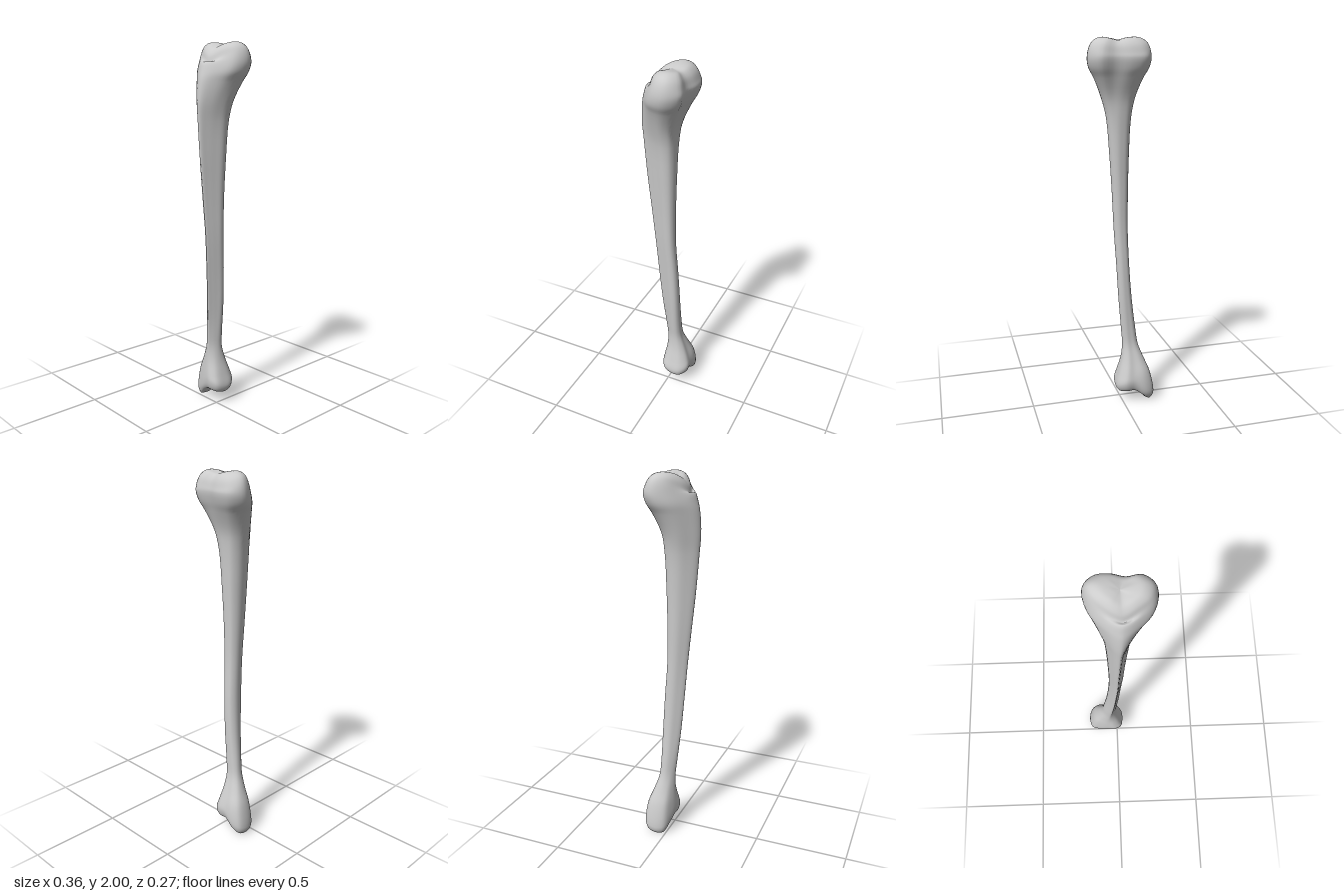
import * as THREE from 'three';

// Normalised cross-sections (x, z in -1..1), running front, +x side, back, -x side
const PLATEAU = [[.1, 1], [.55, .72], [.92, .3], [1, -.35], [.7, -.88], [.2, -.84], [-.3, -1], [-.75, -.92], [-1, -.4], [-.85, .2], [-.45, .72], [-.15, .95]];
const SHAFT = [[.15, 1], [.45, .6], [.75, .1], [1, -.4], [.85, -.8], [.4, -1], [-.1, -1], [-.6, -.9], [-.97, -.5], [-.97, 0], [-.6, .5], [-.15, .92]];
const ANKLE = [[.15, .95], [.55, 1], [.9, .75], [1, .1], [.95, -.5], [.6, -.95], [.1, -.95], [-.5, -1], [-.9, -.75], [-1, -.1], [-.85, .5], [-.35, .8]];
const SHAPES = [ANKLE, SHAFT, PLATEAU];

// Height of the ankle joint surface, dropping to a knob on the -x side
const floorY = (x, z) =>
  0.06 - 0.06 * THREE.MathUtils.smoothstep(-x, 0.07, 0.145) + 4 * (z + 0.048) ** 2;

// Height of the knee joint surface: two shallow humps with a groove between
const roofY = (x, z) =>
  2 - 0.014 * Math.exp(-(((x - 0.025) / 0.035) ** 2)) - 3.5 * (z + 0.04) ** 2;

// One ring of control points inside the box x0..x1, z0..z1; shape blends 0..2
function section(x0, x1, z0, z1, shape, height, scale = 1) {
  const i = Math.min(Math.floor(shape), 1), t = shape - i;
  return SHAPES[i].map(([u, w], k) => {
    const [u2, w2] = SHAPES[i + 1][k];
    const x = (x0 + x1) / 2 + (x1 - x0) / 2 * scale * THREE.MathUtils.lerp(u, u2, t);
    const z = (z0 + z1) / 2 + (z1 - z0) / 2 * scale * THREE.MathUtils.lerp(w, w2, t);
    return new THREE.Vector3(x, height(x, z), z);
  });
}

// Smooth skin through the rings, bottom to top
function loft(rings, steps, sides) {
  const columns = rings[0].map((_, k) =>
    new THREE.CatmullRomCurve3(rings.map(r => r[k])));
  const rows = (rings.length - 1) * steps;
  const position = [], index = [];
  for (let r = 0; r <= rows; r++) {
    const ring = new THREE.CatmullRomCurve3(columns.map(c => c.getPoint(r / rows)), true);
    for (let s = 0; s < sides; s++) {
      position.push(...ring.getPoint(s / sides).toArray());
      if (r === rows) continue;
      const a = r * sides + s, b = r * sides + (s + 1) % sides;
      index.push(a, b, b + sides, a, b + sides, a + sides);
    }
  }
  const geometry = new THREE.BufferGeometry();
  geometry.setAttribute('position', new THREE.Float32BufferAttribute(position, 3));
  geometry.setIndex(index);
  geometry.computeVertexNormals();
  return geometry;
}

export function createModel() {
  const rings = [];

  // Ankle end, from the middle of the joint surface outwards: scale, rise
  for (const [scale, rise] of [[0.002, 0], [0.25, 0], [0.55, 0], [0.8, 0], [0.94, 0.015], [1, 0.045]])
    rings.push(section(-0.18, 0.036, -0.127, 0.036, 0, (x, z) => floorY(x, z) + rise, scale));

  // Shaft: y, x0, x1, z0, z1, shape
  for (const [y, x0, x1, z0, z1, shape] of [
    [0.17, -0.157, 0.02, -0.118, 0.034, 0.05],
    [0.25, -0.125, 0, -0.09, 0.025, 0.3],
    [0.33, -0.096, -0.008, -0.066, 0.022, 0.6],
    [0.42, -0.083, -0.002, -0.06, 0.029, 0.8],
    [0.6, -0.063, 0.012, -0.057, 0.045, 1],
    [0.8, -0.05, 0.022, -0.05, 0.06, 1],
    [1.0, -0.045, 0.033, -0.038, 0.075, 1],
    [1.2, -0.048, 0.041, -0.037, 0.095, 1],
    [1.4, -0.053, 0.053, -0.042, 0.115, 1],
    [1.6, -0.065, 0.071, -0.05, 0.13, 1.1],
    [1.7, -0.085, 0.098, -0.062, 0.135, 1.3],
    [1.8, -0.12, 0.14, -0.1, 0.127, 1.65],
    [1.85, -0.144, 0.167, -0.124, 0.115, 1.9],
    [1.9, -0.151, 0.176, -0.136, 0.095, 2],
  ]) rings.push(section(x0, x1, z0, z1, shape, () => y));

  // Knee end, closing in to the middle of the joint surface: scale, drop
  for (const [scale, drop] of [[0.94, 0.045], [0.82, 0.016], [0.6, 0], [0.3, 0], [0.002, 0]])
    rings.push(section(-0.151, 0.176, -0.136, 0.085, 2, (x, z) => roofY(x, z) - drop, scale));

  const bone = new THREE.Mesh(
    loft(rings, 4, 48),
    new THREE.MeshStandardMaterial({ color: 0xcccccc }));
  bone.name = 'shinBone';

  const group = new THREE.Group();
  group.name = 'shinBoneModel';
  group.add(bone);
  return group;
}
